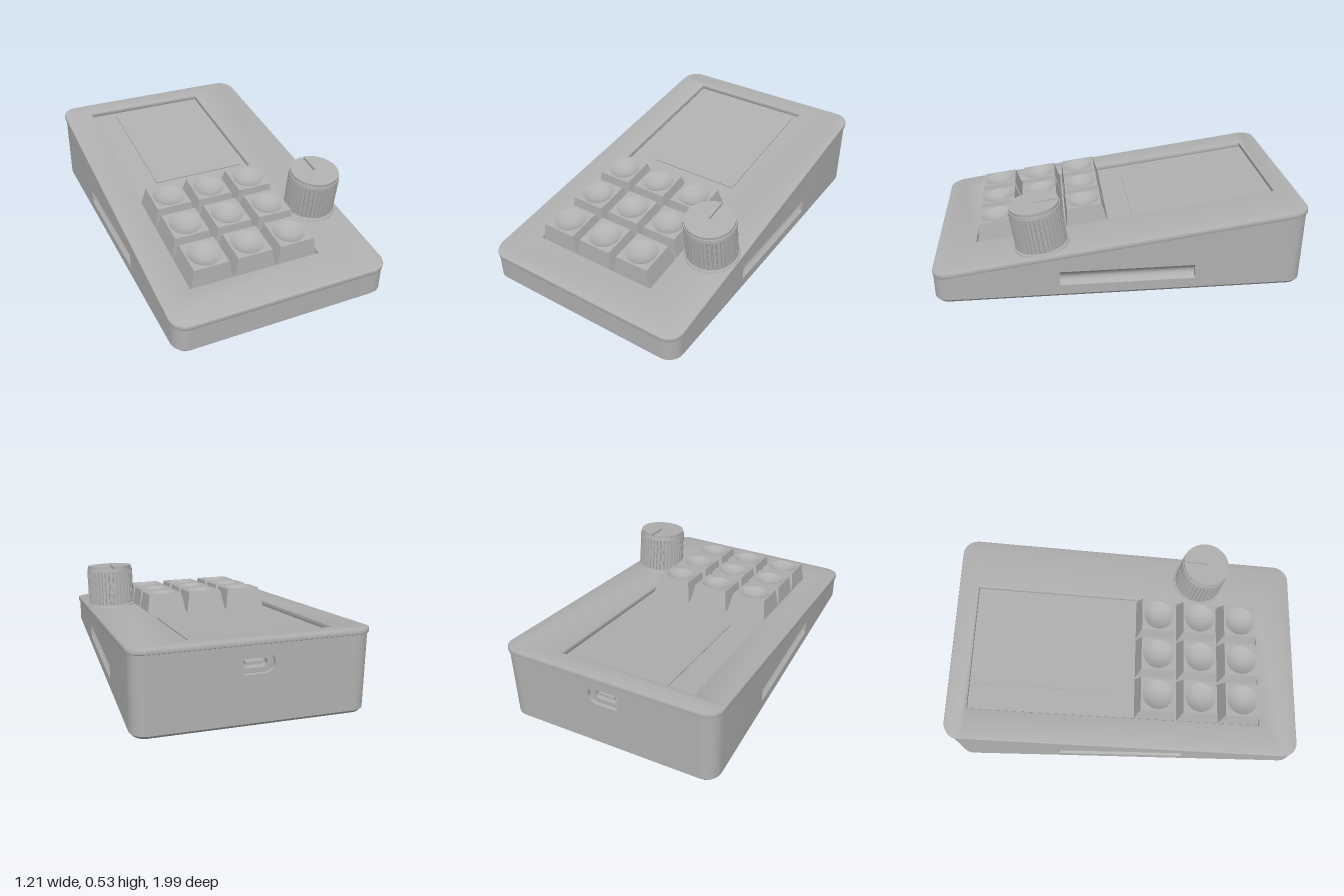
import * as THREE from 'three';
import { toCreasedNormals } from 'three/addons/utils/BufferGeometryUtils.js';

const grey = new THREE.MeshStandardMaterial({ color: 0xb0b0b0 });
grey.name = 'matte grey';

const SLOPE = 0.1395;
const TILT = Math.atan(SLOPE);
const DECK_Y = 0.3245; // deck height at z = 0
const BASE_Y = 0.018;
const HX = 0.597, HZ = 0.99, CORNER = 0.08;

function add(parent, name, geometry, x = 0, y = 0, z = 0, crease = 0.6) {
  const mesh = new THREE.Mesh(toCreasedNormals(geometry, crease), grey);
  mesh.name = name;
  mesh.position.set(x, y, z);
  parent.add(mesh);
  return mesh;
}

// Rounded rectangle centred on the origin
function roundedRect(w, h, r, Type = THREE.Shape) {
  const s = new Type(), a = w / 2 - r, b = h / 2 - r;
  s.absarc(a, b, r, 0, Math.PI / 2);
  s.absarc(-a, b, r, Math.PI / 2, Math.PI);
  s.absarc(-a, -b, r, Math.PI, Math.PI * 1.5);
  s.absarc(a, -b, r, Math.PI * 1.5, Math.PI * 2);
  s.closePath();
  return s;
}

const extrude = (shape, depth) =>
  new THREE.ExtrudeGeometry(shape, { depth, bevelEnabled: false, curveSegments: 24 });

// Plan outline of the case, with side grip points marked grip = 1
function caseOutline() {
  const pts = [];
  const side = (s) => [[-0.39, 0], [-0.39, 1], [0.33, 1], [0.33, 0]]
    .map(([z, grip]) => ({ x: s * HX, z, nx: s, nz: 0, grip }));
  const corner = (q, sx, sz) => {
    for (let i = 0; i <= 8; i++) {
      const t = (q + i / 8) * Math.PI / 2, nx = Math.cos(t), nz = Math.sin(t);
      pts.push({ x: sx * (HX - CORNER) + nx * CORNER, z: sz * (HZ - CORNER) + nz * CORNER, nx, nz, grip: 0 });
    }
  };
  pts.push(...side(1));
  corner(0, 1, 1);
  corner(1, -1, 1);
  pts.push(...side(-1).reverse());
  corner(2, -1, -1);
  const backIndex = pts.length - 1; // flat back segment starts here
  corner(3, 1, -1);
  return { pts, backIndex };
}

// Wedge case: stacked outline loops, scooped grips, back wall with a port
function buildCase(parent) {
  const { pts, backIndex } = caseOutline();
  const top = (z) => DECK_Y - SLOPE * z - 0.025;
  const levels = [{ y: BASE_Y, inset: 0.015, scoop: 0 }, { y: BASE_Y + 0.017, inset: 0, scoop: 0 }];
  for (let i = 0; i <= 8; i++)
    levels.push({ y: 0.09 + 0.08 * i / 8, inset: 0, scoop: 0.025 * Math.sin(Math.PI * i / 8) });
  levels.push({ y: 9, inset: 0, scoop: 0 });

  const pos = [], index = [], n = pts.length;
  levels.forEach(({ y, inset, scoop }, l) => {
    pts.forEach((p, i) => {
      const d = inset + p.grip * scoop;
      pos.push(p.x - p.nx * d, Math.min(y, top(p.z)), p.z - p.nz * d);
      if (l === levels.length - 1 || (i === backIndex && l > 0)) return;
      const a = l * n + i, b = l * n + (i + 1) % n;
      index.push(a, a + n, b, b, a + n, b + n);
    });
  });
  const walls = new THREE.BufferGeometry();
  walls.setAttribute('position', new THREE.Float32BufferAttribute(pos, 3));
  walls.setIndex(index);
  add(parent, 'caseWalls', walls);

  const base = new THREE.Shape(pts.map((p) => new THREE.Vector2(p.x - p.nx * 0.015, p.z - p.nz * 0.015)));
  add(parent, 'caseBottom', new THREE.ShapeGeometry(base).rotateX(Math.PI / 2), 0, BASE_Y, 0);

  // Back wall with a stepped port opening
  const portY = 0.335, bx = HX - CORNER, y0 = BASE_Y + 0.017 - portY, y1 = top(-HZ) - portY;
  const back = new THREE.Shape();
  back.moveTo(-bx, y0).lineTo(bx, y0).lineTo(bx, y1).lineTo(-bx, y1).closePath();
  back.holes.push(roundedRect(0.19, 0.1, 0.049, THREE.Path));
  add(parent, 'backWall', new THREE.ShapeGeometry(back, 24).rotateY(Math.PI), 0, portY, -HZ);
  const rim = roundedRect(0.21, 0.12, 0.059);
  rim.holes.push(roundedRect(0.19, 0.1, 0.049, THREE.Path));
  add(parent, 'portRim', extrude(rim, 0.025), 0, portY, -HZ + 0.0005);
  const socket = roundedRect(0.2, 0.11, 0.054);
  socket.holes.push(roundedRect(0.125, 0.048, 0.0235, THREE.Path));
  add(parent, 'portSocket', extrude(socket, 0.04), 0, portY, -HZ + 0.02);
  add(parent, 'portBack', new THREE.BoxGeometry(0.2, 0.11, 0.005), 0, portY, -HZ + 0.06);
  add(parent, 'portTongue', new THREE.BoxGeometry(0.09, 0.014, 0.035), 0, portY, -HZ + 0.043);
}

// Tilted feet and round marks on the underside
function buildUnderside(parent) {
  for (const x of [-0.46, 0.46]) for (const z of [0.7, -0.44]) {
    const foot = new THREE.Group();
    foot.name = 'foot';
    foot.position.set(x, 0.007, z);
    foot.rotation.x = TILT;
    const profile = [[0.022, 0.02], [0.022, 0], [0.048, 0], [0.05, 0.003], [0.05, 0.022]];
    add(foot, 'footPad', new THREE.LatheGeometry(profile.map(([r, y]) => new THREE.Vector2(r, y)), 32));
    parent.add(foot);
  }
  const mark = (x, z, r) => add(parent, 'undersideMark', new THREE.CylinderGeometry(r, r, 0.004, 28), x, BASE_Y, z);
  for (const x of [-0.3, 0.3]) for (const z of [-0.9, 0.91]) mark(x, z, 0.055);
  for (const x of [-0.43, 0.43]) mark(x, 0.89, 0.022);
}

// Sloped lid with one large opening, floor and display
function buildLid(deck) {
  const b = 0.007;
  const lid = roundedRect(1.21, 2.01, 0.09);
  const x0 = -0.432, x1 = 0.305, z0 = -0.89, z1 = 0.782;
  const hole = new THREE.Path();
  hole.moveTo(x0, z0).lineTo(x0, z1).lineTo(x1, z1).lineTo(x1, z0).closePath();
  lid.holes.push(hole);
  const geo = new THREE.ExtrudeGeometry(lid, {
    depth: 0.03 - 2 * b, bevelSize: b, bevelThickness: b, bevelOffset: -b, bevelSegments: 2, curveSegments: 12,
  });
  add(deck, 'lid', geo.rotateX(Math.PI / 2), 0, -b, 0, 0.4);
  add(deck, 'openingFloor', new THREE.BoxGeometry(0.78, 0.006, 1.72), -0.064, -0.032, -0.054);
  add(deck, 'display', new THREE.BoxGeometry(0.55, 0.008, 0.77), -0.004, -0.026, -0.475);
}

// Tapered keycap with a dished top
function buildKey(deck, x, z) {
  const key = new THREE.Group();
  key.name = 'key';
  key.position.set(x, -0.03, z);
  const h = 0.117, half = 0.097, r = 0.087, depth = 0.03;
  const skirt = new THREE.CylinderGeometry(half * Math.SQRT2, 0.118 * Math.SQRT2, h, 4, 1, true, Math.PI / 4);
  add(key, 'keySides', skirt, 0, h / 2, 0);
  const face = new THREE.Shape();
  face.moveTo(-half, -half).lineTo(half, -half).lineTo(half, half).lineTo(-half, half).closePath();
  const ring = new THREE.Path();
  ring.absarc(0, 0, r, 0, Math.PI * 2);
  face.holes.push(ring);
  add(key, 'keyTop', new THREE.ShapeGeometry(face, 32).rotateX(-Math.PI / 2), 0, h, 0);
  const dish = [];
  for (let i = 0; i <= 8; i++) {
    const t = i / 8;
    dish.push(new THREE.Vector2(r * t, depth * (t * t - 1)));
  }
  const bowl = new THREE.LatheGeometry(dish.reverse(), 32);
  add(key, 'keyDish', bowl.clone(), 0, h, 0);
  deck.add(key);
}

// Fluted knob with a pointer slot cut in its top
function buildKnob(deck) {
  const knob = new THREE.Group();
  knob.name = 'knob';
  knob.position.set(0.452, 0, 0.42);
  add(knob, 'knobSeat', new THREE.CylinderGeometry(0.145, 0.148, 0.008, 48), 0, 0.004, 0);
  add(knob, 'knobShaft', new THREE.CylinderGeometry(0.11, 0.11, 0.02, 32), 0, 0.012, 0);
  const flutes = [], count = 40;
  for (let i = 0; i < count; i++)
    for (const [f, r] of [[0, 0.14], [0.6, 0.14], [0.7, 0.131], [0.9, 0.131]]) {
      const t = (i + f) / count * Math.PI * 2;
      flutes.push(new THREE.Vector2(r * Math.cos(t), r * Math.sin(t)));
    }
  add(knob, 'knobGrip', extrude(new THREE.Shape(flutes), 0.2).rotateX(-Math.PI / 2), 0, 0.016, 0, 0.2);
  add(knob, 'knobBand', new THREE.CylinderGeometry(0.138, 0.14, 0.018, 48), 0, 0.223, 0);
  const cap = new THREE.Shape(), w = 0.007, R = 0.133, a = Math.asin(w / R);
  cap.absarc(0, 0, R, Math.PI / 2 + a, Math.PI * 2.5 - a, false);
  cap.lineTo(w, 0).lineTo(-w, 0).closePath();
  add(knob, 'knobCap', extrude(cap, 0.018).rotateX(-Math.PI / 2), 0, 0.23, 0);
  add(knob, 'setScrew', new THREE.CylinderGeometry(0.018, 0.018, 0.01, 20).rotateX(Math.PI / 2), 0, 0.13, -0.136);
  deck.add(knob);
}

export function createModel() {
  const model = new THREE.Group();
  model.name = 'desktopKeypad';
  buildCase(model);
  buildUnderside(model);

  // Everything on the sloped top shares one tilted frame
  const deck = new THREE.Group();
  deck.name = 'deck';
  deck.position.y = DECK_Y;
  deck.rotation.x = TILT;
  model.add(deck);
  buildLid(deck);
  for (let row = 0; row < 3; row++)
    for (let col = 0; col < 3; col++) buildKey(deck, -0.309 + col * 0.244, 0.166 + row * 0.246);
  buildKnob(deck);
  return model;
}
